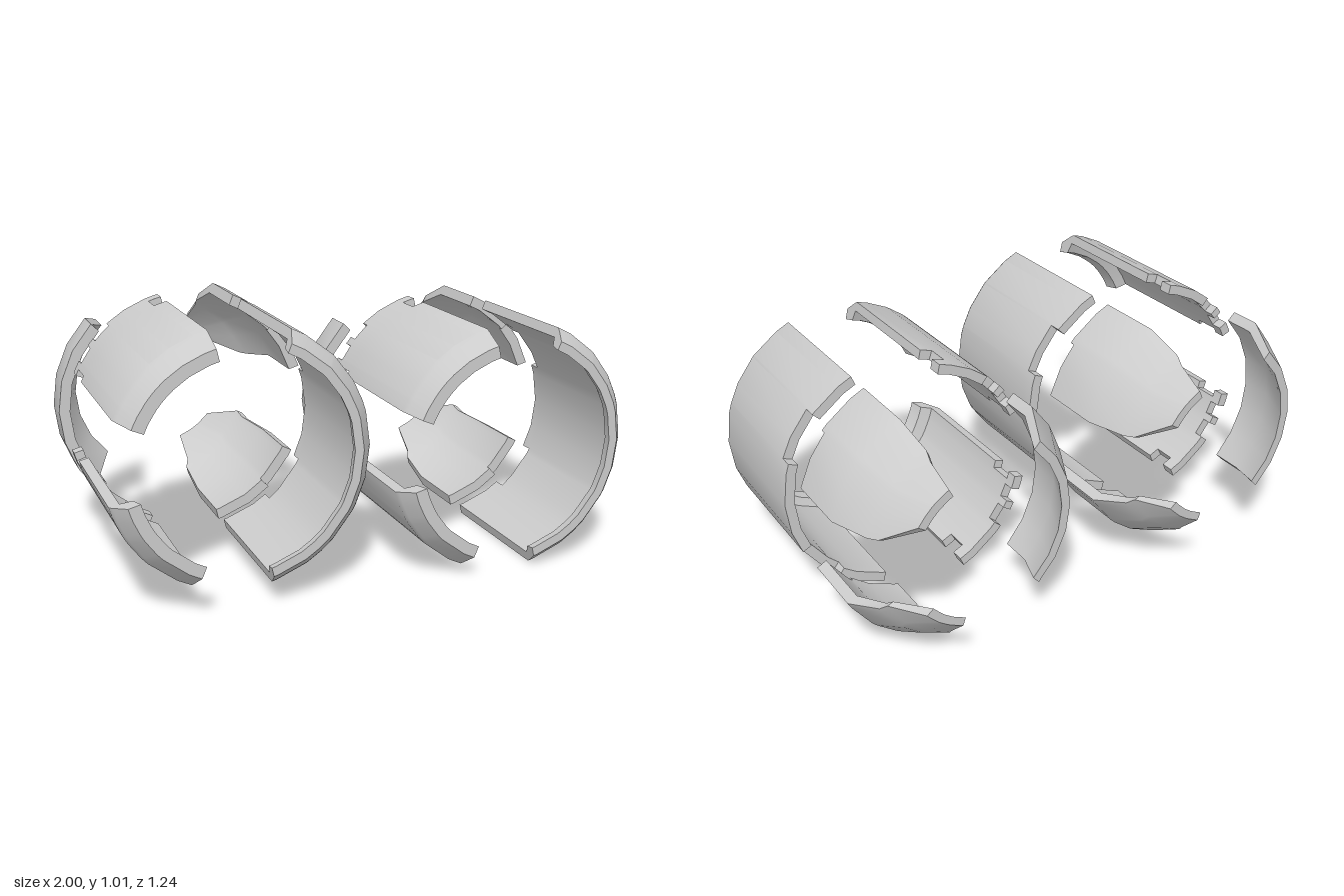
import * as THREE from 'three';
import { toCreasedNormals } from 'three/addons/utils/BufferGeometryUtils.js';

const material = new THREE.MeshStandardMaterial({ color: 0xcccccc });
const STEP = 15; // degrees per facet of the curved shells

// Sorted breakpoints strictly within [lo, hi], without near duplicates
function breaks(lo, hi, values) {
  const inside = values.filter(v => v > lo + 1e-4 && v < hi - 1e-4).sort((a, b) => a - b);
  return [lo, ...inside.filter((v, i) => i === 0 || v - inside[i - 1] > 1e-4), hi];
}

// Interpolates a profile row [z, outer radius, inner radius, start shift, end shift]
function rowAt(profile, z) {
  let i = 0;
  while (i < profile.length - 2 && z > profile[i + 1][0]) i++;
  const p = profile[i], q = profile[i + 1];
  const t = (z - p[0]) / (q[0] - p[0]);
  return [0, 1, 2, 3, 4].map(k => (p[k] || 0) + ((q[k] || 0) - (p[k] || 0)) * t);
}

// Thick curved panel from angle a0 to a1 (degrees); notches are [a, a, z, z] cut-outs
function panel(name, a0, a1, profile, notches = []) {
  const grid = [];
  for (let a = -360; a <= 360; a += STEP) grid.push(a);
  const A = breaks(a0, a1, [...grid, ...notches.flatMap(n => [n[0], n[1]])]);
  const Z = breaks(profile[0][0], profile[profile.length - 1][0],
    [...profile.map(r => r[0]), ...notches.flatMap(n => [n[2], n[3]])]);
  const solid = (i, j) => {
    if (i < 0 || j < 0 || i >= A.length - 1 || j >= Z.length - 1) return false;
    const a = (A[i] + A[i + 1]) / 2, z = (Z[j] + Z[j + 1]) / 2;
    return !notches.some(n => a > n[0] && a < n[1] && z > n[2] && z < n[3]);
  };
  const point = (i, j, side) => {
    const row = rowAt(profile, Z[j]);
    const t = (A[i] - a0) / (a1 - a0);
    const a = THREE.MathUtils.degToRad(A[i] + row[3] * (1 - t) + row[4] * t);
    return [row[side] * Math.cos(a), row[side] * Math.sin(a), Z[j]];
  };
  const pos = [];
  const quad = (a, b, c, d) => pos.push(...a, ...b, ...c, ...a, ...c, ...d);

  for (let i = 0; i < A.length - 1; i++) for (let j = 0; j < Z.length - 1; j++) {
    if (!solid(i, j)) continue;
    const corners = [[i, j], [i + 1, j], [i + 1, j + 1], [i, j + 1]];
    const outer = corners.map(c => point(...c, 1));
    const inner = corners.map(c => point(...c, 2));
    quad(...outer);
    quad(...[...inner].reverse());
    // walls along every open border
    [[0, -1], [1, 0], [0, 1], [-1, 0]].forEach(([di, dj], k) => {
      const n = (k + 1) % 4;
      if (!solid(i + di, j + dj)) quad(outer[n], outer[k], inner[k], inner[n]);
    });
  }
  const geometry = new THREE.BufferGeometry();
  geometry.setAttribute('position', new THREE.Float32BufferAttribute(pos, 3));
  const mesh = new THREE.Mesh(toCreasedNormals(geometry, 0.6), material);
  mesh.name = name;
  return mesh;
}

function shellSet() {
  const set = new THREE.Group();

  // large front half shell: thin wall, rim leaning inward, two recesses in its rear edge
  set.add(panel('frontHalfShell', -77, 67,
    [[-0.01, 0.48, 0.442], [0.55, 0.48, 0.442], [0.565, 0.47, 0.41], [0.605, 0.436, 0.402]],
    [[20, 44, -0.01, 0.04], [-52, -27, -0.01, 0.04]]));

  // upper and lower front panels with toothed rear edges and side notches
  const frontProfile = [
    [-0.125, 0.472, 0.435], [0.55, 0.472, 0.435], [0.565, 0.462, 0.39], [0.62, 0.42, 0.375]];
  set.add(panel('upperFrontPanel', 103, 157, frontProfile,
    [[143, 151, -0.125, -0.08], [130, 139, -0.125, -0.085],
      [103, 109, -0.07, 0.02], [154, 157, -0.08, 0.02]]));
  set.add(panel('lowerFrontPanel', 194, 247, frontProfile,
    [[201, 208, -0.125, -0.08], [212, 221, -0.125, -0.085],
      [241, 247, -0.07, 0.02], [194, 198, -0.08, 0.02]]));

  // domed rear panels, with the side edges sweeping away toward the tip
  const dome = (tip, mid) => [
    [-0.622, 0.308, 0.275, ...tip], [-0.54, 0.382, 0.358, ...mid],
    [-0.51, 0.408, 0.378], [-0.385, 0.478, 0.436], [-0.11, 0.478, 0.436]];
  set.add(panel('upperRearPanel', 16, 67, dome([17, -4], [1, -2]), [[16, 42, -0.13, -0.11]]));
  set.add(panel('lowerRearPanel', -77, -27, dome([6, -12], [3, 2]), [[-48, -27, -0.13, -0.11]]));

  // short rear panel on the other side
  set.add(panel('sideRearPanel', 135, 225,
    [[-0.54, 0.398, 0.362, -3, 3], [-0.375, 0.478, 0.436], [-0.25, 0.478, 0.436]]));
  return set;
}

export function createModel() {
  const model = new THREE.Group();
  model.name = 'splitShells';
  [[-0.522, 0.546], [0.518, 0.468]].forEach(([x, y], i) => {
    const set = shellSet();
    set.name = i ? 'leftShellSet' : 'rightShellSet';
    set.position.set(x, y, 0);
    model.add(set);
  });
  return model;
}
